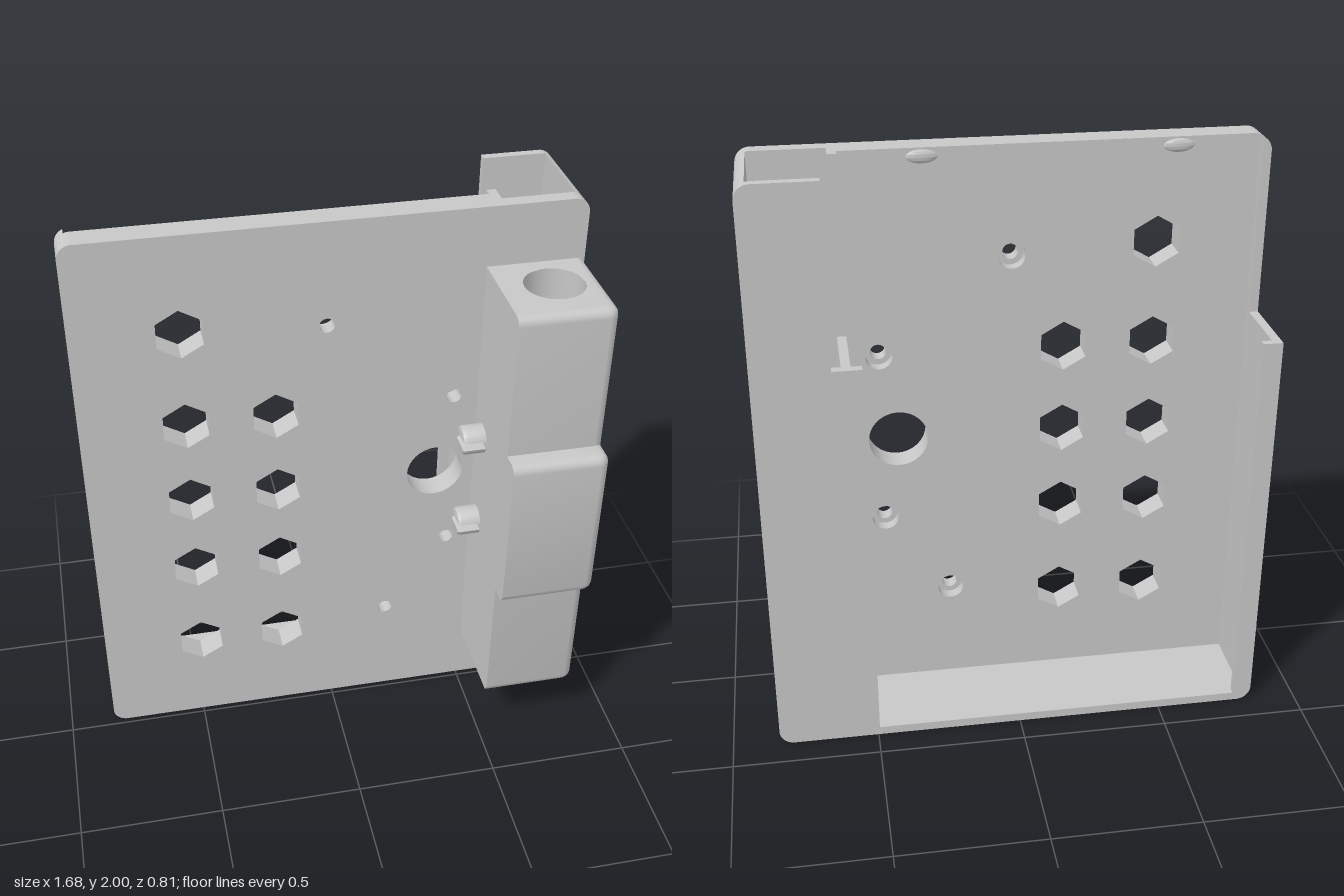
import * as THREE from 'three';
import { toCreasedNormals } from 'three/addons/utils/BufferGeometryUtils.js';

const W = 0.84, H = 2, R = 0.05, WALL = 0.03, STEP = 1.4, FRONT = -0.02, BACK = -0.405;

export function createModel() {
  const model = new THREE.Group();
  const grey = new THREE.MeshStandardMaterial({ color: 0xc7c7c7 });
  grey.name = 'light grey';

  const add = (name, geometry) => {
    const mesh = new THREE.Mesh(toCreasedNormals(geometry, 0.6), grey);
    mesh.name = name;
    model.add(mesh);
  };
  // extrude an xy outline between two depths
  const slab = (name, shape, z0, z1) => add(name, new THREE.ExtrudeGeometry(shape,
    { depth: z1 - z0, bevelEnabled: false, curveSegments: 16 }).translate(0, 0, z0));

  const round = (shape, x, y, r) => {
    const hole = new THREE.Path();
    hole.absarc(x, y, r, 0, Math.PI * 2, true);
    shape.holes.push(hole);
  };
  const hex = (shape, x, y, r) => shape.holes.push(new THREE.Path(
    Array.from({ length: 6 }, (_, i) => {
      const a = Math.PI / 2 - i * Math.PI / 3;
      return new THREE.Vector2(x + r * Math.cos(a), y + r * Math.sin(a));
    })));

  // front plate layers: vents, cable hole, stepped screw holes
  const plateShape = (right, screwR) => {
    const s = new THREE.Shape();
    s.absarc(-W + R, R, R, Math.PI, Math.PI * 1.5, false);
    if (right === W) {
      s.absarc(W - R, R, R, -Math.PI / 2, 0, false);
      s.absarc(W - R, H - R, R, 0, Math.PI / 2, false);
    } else {
      s.lineTo(right, 0);
      s.lineTo(right, H);
    }
    s.absarc(-W + R, H - R, R, Math.PI / 2, Math.PI, false);
    for (const y of [0.35, 0.7, 1, 1.305, 1.655]) {
      hex(s, -0.488, y, 0.087);
      if (y < 1.6) hex(s, -0.187, y, 0.087);
    }
    round(s, 0.372, 1, 0.1);
    for (const [x, y] of [[-0.013, 1.633], [0.427, 1.307], [0.427, 0.698], [0.205, 0.393]]) {
      round(s, x, y, screwR);
    }
    return s;
  };
  slab('frontPlate', plateShape(W, 0.026), -0.07, FRONT);
  slab('innerPlate', plateShape(0.56, 0.045), -0.11, -0.07);

  // shallow bumps on the inner face, near the top edge
  for (const x of [0.27, -0.545]) {
    add('snapBump', new THREE.SphereGeometry(1, 24, 12)
      .scale(0.05, 0.022, 0.01).translate(x, 1.972, -0.11));
  }

  // side walls, floor and divider of the side channel
  const end = Math.acos(0.3);
  const frameShape = (top) => {
    const s = new THREE.Shape();
    s.moveTo(-W, top === H ? H - R : top);
    s.lineTo(-W, R);
    s.absarc(-W + R, R, R, Math.PI, Math.PI * 1.5, false);
    s.absarc(W - R, R, R, -Math.PI / 2, 0, false);
    s.absarc(W - R, H - R, R, 0, end, false);
    s.lineTo(0.805, WALL);
    s.lineTo(0.56, WALL);
    s.lineTo(0.56, top);
    s.lineTo(0.53, top);
    s.lineTo(0.53, WALL);
    s.lineTo(-W + WALL, WALL);
    if (top === H) s.absarc(-W + R, H - R, R, Math.PI - Math.acos(0.4), Math.PI, false);
    else s.lineTo(-W + WALL, top);
    return s;
  };
  slab('wallBase', frameShape(H), -0.14, -0.07);
  slab('walls', frameShape(STEP), BACK, -0.14);

  // back cover of the channel, with its step
  const cover = new THREE.Shape();
  cover.moveTo(0.495, STEP);
  cover.lineTo(0.495, 0);
  cover.absarc(W - R, R, R, -Math.PI / 2, 0, false);
  cover.absarc(W - R, H - R, R, 0, Math.PI / 2, false);
  cover.lineTo(0.59, H);
  cover.lineTo(0.59, STEP);
  slab('channelCover', cover, BACK, -0.375);

  // retaining lip on the opposite wall
  add('retainingLip', new THREE.BoxGeometry(0.045, STEP - 0.02, 0.025)
    .translate(-0.7975, STEP / 2 + 0.01, BACK + 0.0125));

  // housing blocks: rounded outer edges, flat inner side and back, optional bore along y
  const bore = { x: 0.688, z: 0.13, r: 0.1 };
  const housing = (name, y0, y1, z0, z1, bored) => {
    const x0 = 0.51, b = 0.03, c = 0.04, extra = 0.1;
    const s = new THREE.Shape();
    s.moveTo(x0 - extra, -z0 + extra);
    s.lineTo(x0 - extra, -z1);
    s.absarc(W - c, -z1 + c, c, -Math.PI / 2, 0, false);
    s.lineTo(W, -z0 + extra);
    if (bored) round(s, bore.x, -bore.z, bore.r);
    const g = new THREE.ExtrudeGeometry(s, { depth: y1 - y0 - 2 * b, bevelEnabled: true,
      bevelSize: b, bevelThickness: b, bevelOffset: -b, bevelSegments: 4, curveSegments: 16 });
    g.rotateX(-Math.PI / 2).translate(0, y0 + b, 0);
    // keep the bore straight and cut the extra margin flat
    const p = g.attributes.position;
    for (let i = 0; i < p.count; i++) {
      const x = p.getX(i), z = p.getZ(i);
      const dx = x - bore.x, dz = z - bore.z, d = Math.hypot(dx, dz);
      if (bored && d < 0.14) {
        p.setX(i, bore.x + dx / d * bore.r);
        p.setZ(i, bore.z + dz / d * bore.r);
      } else {
        p.setX(i, Math.max(x, x0));
        p.setZ(i, Math.max(z, z0));
      }
    }
    add(name, g);
  };
  housing('sideHousing', 0.22, 1.79, FRONT, 0.328, true);
  housing('housingBulge', 0.72, 1.285, 0.25, 0.405, false);

  // half-round bar across the bore
  const half = new THREE.Shape();
  half.absarc(0, 0, 0.05, Math.PI / 2, Math.PI * 1.5, false);
  add('boreBar', new THREE.ExtrudeGeometry(half, { depth: 0.2, bevelEnabled: false })
    .rotateY(Math.PI / 2).translate(0.588, 1.18, 0.08));

  // split pins on the inner side of the housing
  for (const y of [0.83, 1.18]) {
    for (const side of [0, Math.PI]) {
      const a = Math.asin(0.28);
      const s = new THREE.Shape();
      s.absarc(0, 0, 0.051, a + side, Math.PI - a + side, false);
      add('splitPin', new THREE.ExtrudeGeometry(s, { depth: 0.1, bevelEnabled: true,
        bevelSize: 0.01, bevelThickness: 0.015, bevelOffset: -0.01, bevelSegments: 3 })
        .rotateY(Math.PI / 2).translate(0.447, y, 0.064));
    }
  }
  return model;
}
